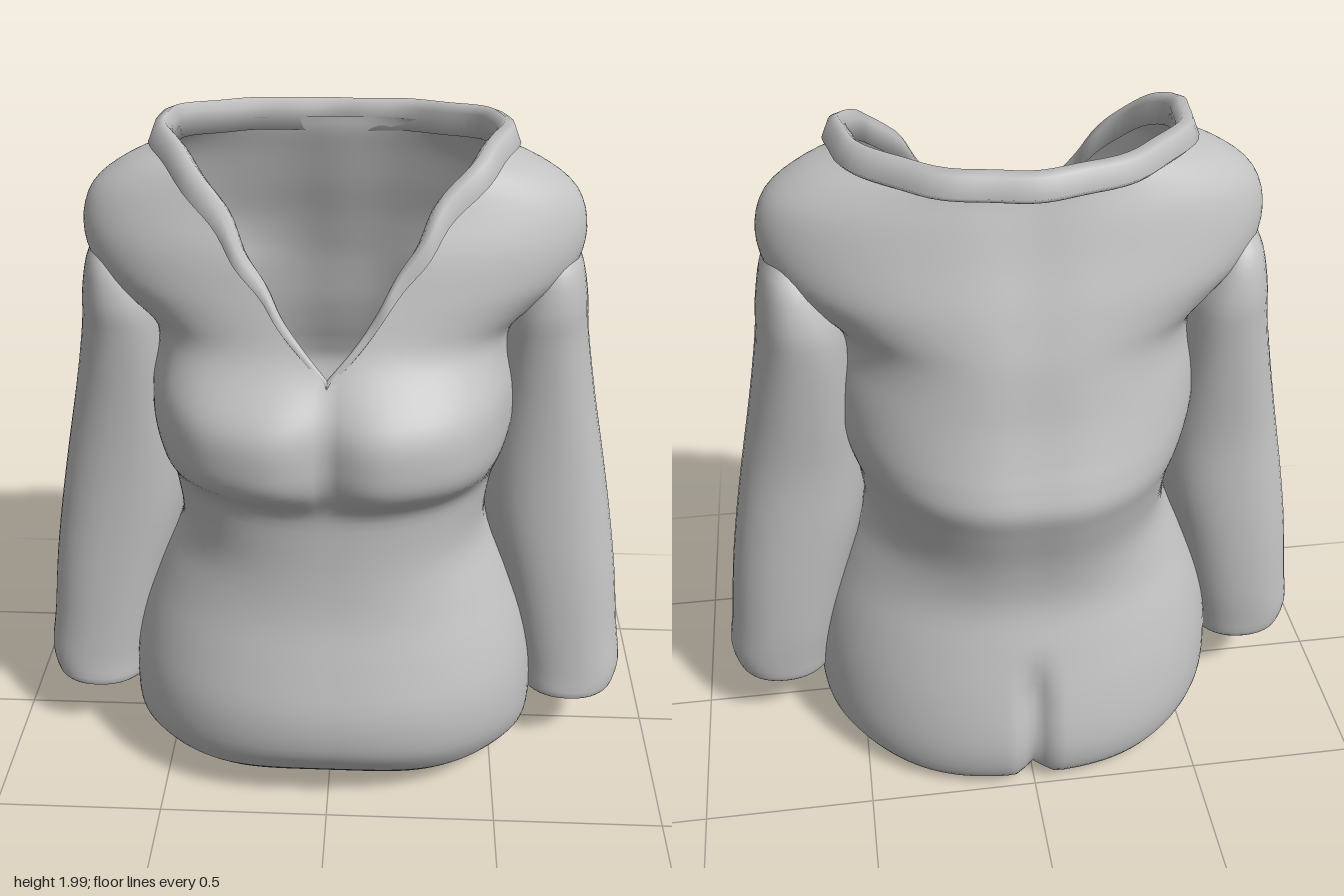
import * as THREE from 'three';
import { mergeVertices } from 'three/addons/utils/BufferGeometryUtils.js';

const V = (x, y, z) => new THREE.Vector3(x, y, z);
const fabric = new THREE.MeshStandardMaterial({ color: 0xc2c2c2, side: THREE.DoubleSide });
fabric.name = 'grey fabric';

// Skin a list of equally long rings; shared seams are welded for smooth normals.
function loft(name, rings) {
  const n = rings[0].length, pos = [], index = [];
  rings.forEach((ring) => ring.forEach((p) => pos.push(p.x, p.y, p.z)));
  for (let j = 0; j < rings.length - 1; j++) {
    for (let i = 0; i < n - 1; i++) {
      const a = j * n + i, b = a + n;
      index.push(a, a + 1, b + 1, a, b + 1, b);
    }
  }
  let geo = new THREE.BufferGeometry();
  geo.setAttribute('position', new THREE.Float32BufferAttribute(pos, 3));
  geo.setIndex(index);
  geo = mergeVertices(geo, 1e-4);
  geo.computeVertexNormals();
  const mesh = new THREE.Mesh(geo, fabric);
  mesh.name = name;
  return mesh;
}

const bell = (d, s, e = 2) => Math.exp(-(Math.abs(d / s) ** e));
const power = (v, e) => Math.sign(v) * Math.abs(v) ** e;

// Torso with shoulders: height, half width, front depth, back depth, half width of the neck opening
const BODY = [
  [0.05, 0.575, 0.40, 0.455, 0], [0.1, 0.615, 0.45, 0.51, 0], [0.2, 0.625, 0.50, 0.53, 0],
  [0.35, 0.615, 0.51, 0.5, 0], [0.5, 0.58, 0.475, 0.46, 0], [0.65, 0.52, 0.435, 0.425, 0],
  [0.8, 0.455, 0.42, 0.445, 0], [0.95, 0.465, 0.42, 0.49, 0], [1.04, 0.49, 0.425, 0.515, 0],
  [1.11, 0.51, 0.43, 0.5, 0], [1.18, 0.52, 0.435, 0.475, 0], [1.28, 0.515, 0.43, 0.445, 0],
  [1.38, 0.495, 0.395, 0.425, 0], [1.45, 0.51, 0.375, 0.41, 0.055], [1.52, 0.585, 0.355, 0.39, 0.1],
  [1.6, 0.665, 0.33, 0.365, 0.15], [1.7, 0.69, 0.3, 0.33, 0.215], [1.8, 0.66, 0.255, 0.3, 0.28],
  [1.87, 0.57, 0.23, 0.28, 0.34], [1.915, 0.455, 0.21, 0.275, 0.39],
];

function torso() {
  const size = new THREE.CatmullRomCurve3(BODY.map((r) => V(r[1], r[2], r[3])), false, 'catmullrom');
  const place = new THREE.CatmullRomCurve3(BODY.map((r) => V(r[0], r[4], 0)), false, 'catmullrom');
  const rows = (BODY.length - 1) * 4, cols = 140, FRONT = 2.25, BACK = 2.05, rings = [];
  for (let j = 0; j <= rows; j++) {
    const s = size.getPoint(j / rows), q = place.getPoint(j / rows), ring = [];
    const y = q.x;
    const open = Math.asin((Math.max(0, q.y) / s.x) ** (FRONT / 2));
    for (let i = 0; i <= cols; i++) {
      const a = open + (i / cols) * (2 * Math.PI - 2 * open);
      const c = Math.cos(a);
      const e = 2 / (c > 0 ? FRONT : BACK);
      const x = s.x * power(Math.sin(a), e);
      let z = (c > 0 ? s.y : s.z) * power(c, e);
      if (c > 0) {
        // full, broad bust
        z += 0.105 * bell(Math.abs(x) - 0.25, 0.25, 3.5) * bell(y - 1.17, y < 1.17 ? 0.13 : 0.22, 3.5) * Math.min(1, c * 2);
      } else {
        // seat crease and faint spine hollow
        z += 0.05 * bell(x, 0.035) * THREE.MathUtils.smoothstep(0.52 - y, 0, 0.2);
        z += 0.012 * bell(x, 0.1) * THREE.MathUtils.smoothstep(y, 0.5, 0.9);
      }
      // hem drops toward the back
      const hem = 1 - THREE.MathUtils.smoothstep(y, 0.05, 0.35);
      ring.push(V(x, y + hem * (0.09 * z + 0.008 * Math.cos(6 * a)), z));
    }
    rings.push(ring);
  }
  return loft('torso', rings);
}

// Sleeve: height, inner x, outer x, front z, back z; the top sits just under the shoulder
const SLEEVE = [
  [0.2, 0.61, 0.875, 0.14, -0.13], [0.21, 0.59, 0.89, 0.165, -0.155], [0.28, 0.575, 0.905, 0.16, -0.165],
  [0.4, 0.55, 0.888, 0.155, -0.175], [0.6, 0.505, 0.865, 0.15, -0.18], [0.8, 0.455, 0.833, 0.145, -0.18],
  [1.0, 0.44, 0.795, 0.145, -0.18], [1.2, 0.445, 0.755, 0.155, -0.2], [1.4, 0.455, 0.72, 0.175, -0.22],
  [1.5, 0.475, 0.71, 0.185, -0.22], [1.6, 0.52, 0.69, 0.165, -0.19], [1.66, 0.56, 0.66, 0.11, -0.13],
];

function sleeve(side) {
  const span = new THREE.CatmullRomCurve3(SLEEVE.map((r) => V(r[0], r[1], r[2])), false, 'catmullrom');
  const depth = new THREE.CatmullRomCurve3(SLEEVE.map((r) => V(r[3], r[4], 0)), false, 'catmullrom');
  const rows = (SLEEVE.length - 1) * 3, cols = 40, rings = [];
  for (let j = 0; j <= rows; j++) {
    const s = span.getPoint(j / rows), d = depth.getPoint(j / rows), ring = [];
    for (let i = 0; i <= cols; i++) {
      const a = (i / cols) * 2 * Math.PI;
      ring.push(V(
        side * (s.y + s.z) / 2 + power(Math.sin(a), 0.9) * (s.z - s.y) / 2,
        s.x,
        (d.x + d.y) / 2 + power(Math.cos(a), 0.9) * (d.x - d.y) / 2));
    }
    rings.push(ring);
  }
  return loft(side > 0 ? 'leftSleeve' : 'rightSleeve', rings);
}

// Collar: folded band running from the neck point around the back and down again
function collar() {
  const half = [
    [0.095, 1.5, 0.35], [0.15, 1.6, 0.325], [0.215, 1.7, 0.285], [0.285, 1.82, 0.225],
    [0.385, 1.92, 0.14], [0.43, 1.955, 0.03], [0.41, 1.95, -0.09], [0.3, 1.935, -0.2], [0.15, 1.925, -0.265],
  ];
  const pts = [
    [0, 1.385, 0.385], ...half, [0, 1.92, -0.28],
    ...half.map(([x, y, z]) => [-x, y, z]).reverse(), [0, 1.385, 0.385],
  ].map((p) => V(...p));
  const path = new THREE.CatmullRomCurve3(pts, false, 'catmullrom');
  // outward and upward offsets of the fold
  const section = [[0, -0.05], [0.045, -0.035], [0.06, -0.02], [0.04, 0.03], [0.015, 0.04], [-0.005, 0.015], [0, -0.05]];
  const steps = 100, rings = [];
  for (let j = 0; j <= steps; j++) {
    const p = path.getPoint(j / steps);
    const out = V(p.x, 0, p.z).normalize();
    const k = 0.35 + 0.65 * THREE.MathUtils.smoothstep(p.y, 1.4, 1.9);
    const ripple = 0.006 * Math.sin(j * 0.9) * k;
    rings.push(section.map(([o, u]) => p.clone().addScaledVector(out, o * k + ripple).add(V(0, u * k, 0))));
  }
  return loft('collar', rings);
}

export function createModel() {
  const group = new THREE.Group();
  group.name = 'pullover';
  group.add(torso(), sleeve(1), sleeve(-1), collar());
  return group;
}
